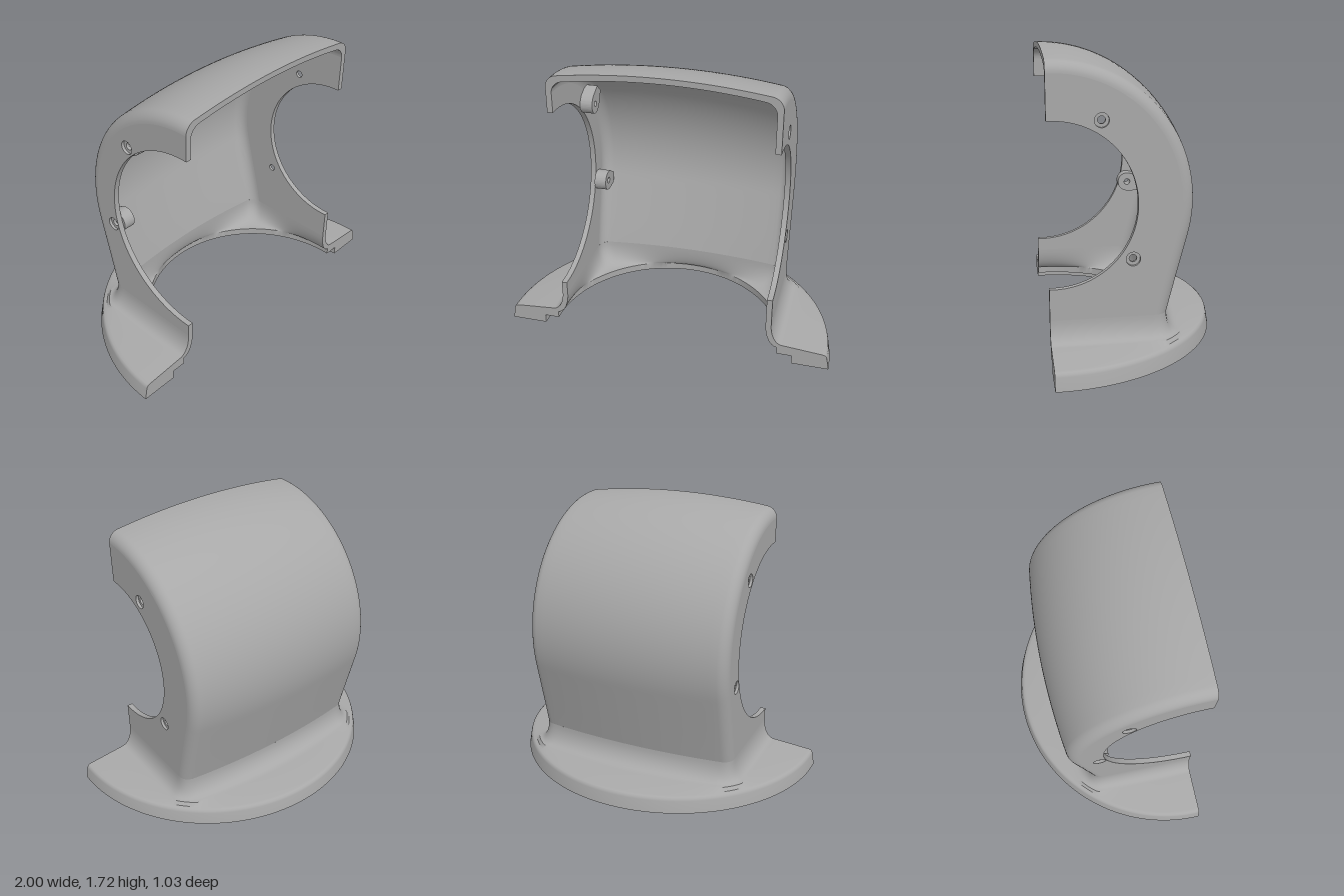
import * as THREE from 'three';
import { toCreasedNormals } from 'three/addons/utils/BufferGeometryUtils.js';

const FRONT = 0.515, CZ = 0.487, CY = 0.9, R = 0.82; // open face, hood axis, hood radius
const HALF = 0.65, THICK = 0.033, CORNER = 0.06, CROWN = 0.05, SEAM = 0.25;
const TILT = 0.272; // lean of the lower back

const grey = new THREE.MeshStandardMaterial({ color: 0xa8a8a8, side: THREE.DoubleSide });
grey.name = 'grey';

function add(parent, name, geometry) {
  const mesh = new THREE.Mesh(geometry, grey);
  mesh.name = name;
  parent.add(mesh);
}

// Depth of the surface below the back profile at x (slight crown plus rounded corner)
function drop(x, half) {
  const over = Math.max(0, Math.abs(x) - (half - CORNER));
  return CROWN * (x / half) ** 2 + CORNER - Math.sqrt(Math.max(0, CORNER ** 2 - over ** 2));
}

// Joins closed sections of [x, y, z] points; caps the ends on request
function loft(sections, capStart, capEnd) {
  const n = sections[0].length, index = [];
  for (let i = 0; i < sections.length - 1; i++) {
    for (let j = 0; j < n; j++) {
      const a = i * n + j, b = i * n + (j + 1) % n;
      index.push(a, b, a + n, b, b + n, a + n);
    }
  }
  const cap = (k) => {
    const flat = sections[k].map((p) => new THREE.Vector2(p[0], p[1]));
    for (const t of THREE.ShapeUtils.triangulateShape(flat, [])) index.push(...t.map((v) => v + k * n));
  };
  if (capStart) cap(0);
  if (capEnd) cap(sections.length - 1);
  const g = new THREE.BufferGeometry();
  g.setAttribute('position', new THREE.Float32BufferAttribute(sections.flat(2), 3));
  g.setIndex(index);
  return toCreasedNormals(g, 0.6);
}

// Back profile: z, y and the outward normal angle (0 = up, PI/2 = back)
function backProfile() {
  const pts = [[FRONT, CY + R, 0]];
  const end = Math.PI / 2 + TILT;
  for (let i = 0; i <= 48; i++) {
    const a = end * i / 48;
    pts.push([CZ - R * Math.sin(a), CY + R * Math.cos(a), a]);
  }
  const [z0, y0] = pts[pts.length - 1];
  for (let i = 1; i <= 8; i++) {
    const t = i / 8;
    pts.push([z0 + (-0.19 - z0) * t, y0 + (SEAM - y0) * t, end - TILT * t ** 3]);
  }
  return pts;
}

// Point at depth d below a profile point, as [z, y]
const inset = ([z, y, a], d) => [z + Math.sin(a) * d, y - Math.cos(a) * d];

// x stations across the hood, packed into the rounded corners
function stations(half) {
  const xs = [], flat = half - CORNER;
  for (let i = 0; i < 8; i++) xs.push(-flat - CORNER * Math.cos(i / 8 * Math.PI / 2));
  for (let i = 0; i <= 24; i++) xs.push(-flat + 2 * flat * i / 24);
  for (let i = 1; i <= 8; i++) xs.push(flat + CORNER * Math.sin(i / 8 * Math.PI / 2));
  return xs;
}

function hoodGeometry(profile) {
  const inner = HALF - THICK;
  const outerX = stations(HALF), innerX = stations(inner).reverse();
  const sections = profile.map((p) => {
    const at = (x, d) => { const [z, y] = inset(p, d); return [x, y, z]; };
    return [
      ...outerX.map((x) => at(x, drop(x, HALF))),
      ...innerX.map((x) => at(x, drop(x, inner) + THICK)),
    ];
  });
  return loft(sections, true, false);
}

// Radius of the hood footprint in a direction from the axis
function footprint(angle, half, depth) {
  const c = Math.cos(angle), s = Math.sin(angle);
  let lo = 0, hi = 1.2;
  for (let i = 0; i < 40; i++) {
    const r = (lo + hi) / 2, x = r * c;
    if (Math.abs(x) < half && r * s < depth - drop(x, half)) lo = r; else hi = r;
  }
  return lo;
}

// Half-round foot with flared fillet outside and stepped opening inside
function footGeometry() {
  const sections = [], N = 140, S = 10;
  for (let i = -1; i <= N + 1; i++) {
    const a = Math.PI * Math.min(N, Math.max(0, i)) / N;
    const ro = footprint(a, HALF, CZ + 0.19);
    const ri = footprint(a, HALF - THICK, CZ + 0.19 - THICK);
    const flare = Math.min(0.07 + 0.03 * Math.sin(a), (0.95 - ro) * 0.9);
    const ring = [];
    for (let k = 0; k <= S; k++) {
      const t = k / S * Math.PI / 2;
      ring.push([ro + flare * (1 - Math.cos(t)), SEAM - 0.13 * Math.sin(t)]);
    }
    ring.push([0.958, 0.1], [0.974, 0.096], [0.983, 0.088], [0.987, 0.075], [1, 0]);
    ring.push([0.78, 0], [0.78, 0.055], [0.69, 0.055]);
    for (let k = S; k >= 0; k--) {
      const t = k / S * Math.PI / 2;
      ring.push([ri + (0.69 - ri) * (1 - Math.cos(t)), SEAM - 0.15 * Math.sin(t)]);
    }
    const z = (i < 0 || i > N) ? FRONT : CZ;
    sections.push(ring.map(([r, y]) => [r * Math.cos(a), y, z - r * Math.sin(a)]));
  }
  return loft(sections, true, true);
}

// Extrudes a (z, y) shape along x from x0
function plate(shape, x0, depth) {
  const g = new THREE.ExtrudeGeometry(shape, { depth, bevelEnabled: false, curveSegments: 48 });
  g.rotateY(-Math.PI / 2);
  g.translate(x0 + depth, 0, 0);
  return toCreasedNormals(g, 0.5);
}

function circleHole(z, y, r) {
  const p = new THREE.Path();
  p.absarc(z, y, r, 0, Math.PI * 2, true);
  return p;
}

function wallShape(profile, opening, holes, holeRadius) {
  const s = new THREE.Shape();
  profile.forEach((p, i) => {
    const [z, y] = inset(p, CROWN + CORNER);
    if (i) s.lineTo(z, y); else s.moveTo(z, y);
  });
  s.lineTo(FRONT, SEAM);
  s.lineTo(FRONT, 0.895 - opening);
  s.absarc(CZ, 0.895, opening, -Math.PI / 2, Math.PI / 2, true);
  s.lineTo(FRONT, 0.895 + opening);
  holes.forEach(([z, y]) => s.holes.push(circleHole(z, y, holeRadius)));
  return s;
}

// Screw boss: round towards the opening, tapering out to the shell
function bossGeometry([z, y], x0) {
  const out = Math.atan2(y - 0.895, z - CZ), r = 0.062;
  const at = (u, v) => [z + u * Math.cos(out) - v * Math.sin(out), y + u * Math.sin(out) + v * Math.cos(out)];
  const s = new THREE.Shape();
  s.moveTo(...at(0.1, -0.035));
  s.lineTo(...at(0.02, -r));
  s.lineTo(...at(0, -r));
  s.absarc(z, y, r, out - Math.PI / 2, out + Math.PI / 2, true);
  s.lineTo(...at(0.02, r));
  s.lineTo(...at(0.1, 0.035));
  s.holes.push(circleHole(z, y, 0.02));
  return plate(s, x0, 0.075);
}

export function createModel() {
  const model = new THREE.Group();
  model.name = 'halfHousing';
  const profile = backProfile();
  add(model, 'hood', hoodGeometry(profile));
  add(model, 'foot', footGeometry());

  // Side walls in two layers, so the screw holes are counterbored from outside
  const sides = [
    { name: 'left', sign: 1, opening: 0.465, holes: [[0.22, 1.36], [0.05, 0.585]] },
    { name: 'right', sign: -1, opening: 0.565, holes: [[0.06, 1.34], [-0.1, 0.735]] },
  ];
  const half = THICK / 2;
  for (const { name, sign, opening, holes } of sides) {
    const wall = new THREE.Group();
    wall.name = name + 'Wall';
    const outerX = sign > 0 ? HALF - half : -HALF;
    const innerX = sign > 0 ? HALF - THICK : -HALF + half;
    add(wall, name + 'WallOuter', plate(wallShape(profile, opening, holes, 0.04), outerX, half));
    add(wall, name + 'WallInner', plate(wallShape(profile, opening, holes, 0.021), innerX, half));
    model.add(wall);
  }
  sides[1].holes.forEach((h) => add(model, 'screwBoss', bossGeometry(h, -HALF + THICK)));
  return model;
}
